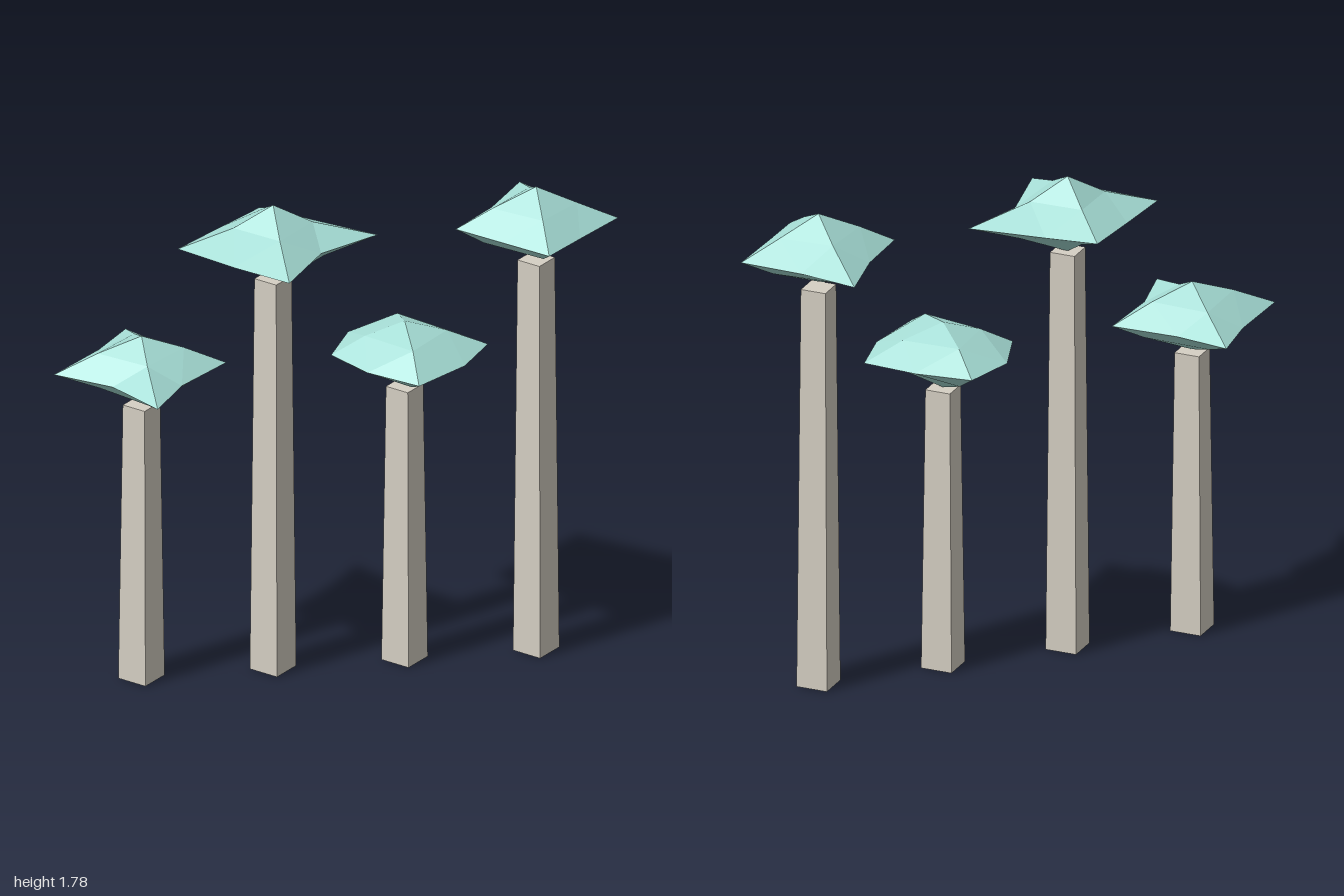
import * as THREE from 'three';

const barkMaterial = new THREE.MeshStandardMaterial({ color: 0xd6d0c4, flatShading: true });
const leafMaterial = new THREE.MeshStandardMaterial({ color: 0xa8e0d8, flatShading: true });

// Each tree: trunk position and height, crown centre, tip reaches [-, +] per axis,
// and the crown's edge midpoints as [a, b] sizes in the sign order --, +-, ++, -+
const trees = [
  { x: -0.69, height: 1.05, y: 1.185, tipX: [0.31, 0.3], tipY: [0.132, 0.125], tipZ: [0.333, 0.343],
    xz: [[0.12, 0.18], [0.12, 0.17], [0.115, 0.165], [0.125, 0.135]],
    xy: [[0.145, 0.065], [0.18, 0.06], [0.15, 0.07], [0.155, 0.07]],
    yz: [[0.07, 0.16], [0.065, 0.15], [0.065, 0.125], [0.07, 0.16]] },
  { x: -0.225, height: 1.5, y: 1.635, tipX: [0.337, 0.37], tipY: [0.14, 0.143], tipZ: [0.29, 0.345],
    xz: [[0.165, 0.15], [0.15, 0.175], [0.15, 0.12], [0.17, 0.185]],
    xy: [[0.12, 0.065], [0.18, 0.065], [0.14, 0.068], [0.14, 0.065]],
    yz: [[0.06, 0.14], [0.07, 0.14], [0.07, 0.145], [0.07, 0.17]] },
  { x: 0.24, height: 1.05, y: 1.185, tipX: [0.26, 0.295], tipY: [0.135, 0.112], tipZ: [0.28, 0.305],
    xz: [[0.17, 0.18], [0.165, 0.15], [0.185, 0.165], [0.16, 0.165]],
    xy: [[0.15, 0.07], [0.13, 0.06], [0.15, 0.065], [0.14, 0.065]],
    yz: [[0.07, 0.16], [0.07, 0.155], [0.075, 0.175], [0.07, 0.16]] },
  { x: 0.705, height: 1.5, y: 1.635, tipX: [0.285, 0.29], tipY: [0.115, 0.142], tipZ: [0.35, 0.275],
    xz: [[0.13, 0.16], [0.13, 0.17], [0.13, 0.15], [0.14, 0.14]],
    xy: [[0.185, 0.06], [0.17, 0.06], [0.145, 0.07], [0.155, 0.07]],
    yz: [[0.06, 0.15], [0.075, 0.14], [0.075, 0.14], [0.065, 0.155]] },
];

// Edge midpoint sizes for a pair of signs, with the signs applied
function signedPair(list, sa, sb) {
  const index = sb < 0 ? (sa < 0 ? 0 : 1) : (sa > 0 ? 2 : 3);
  return [list[index][0] * sa, list[index][1] * sb];
}

// Irregular flattened octahedron, each octant split into four facets
function crownGeometry(t) {
  const positions = [];
  const reach = (pair, s) => pair[s < 0 ? 0 : 1] * s;
  for (const sx of [-1, 1]) for (const sy of [-1, 1]) for (const sz of [-1, 1]) {
    const a = [reach(t.tipX, sx), 0, 0];
    const b = [0, reach(t.tipY, sy), 0];
    const c = [0, 0, reach(t.tipZ, sz)];
    const [abX, abY] = signedPair(t.xy, sx, sy);
    const [bcY, bcZ] = signedPair(t.yz, sy, sz);
    const [caX, caZ] = signedPair(t.xz, sx, sz);
    const ab = [abX, abY, 0], bc = [0, bcY, bcZ], ca = [caX, 0, caZ];
    for (const [p, q, r] of [[a, ab, ca], [ab, b, bc], [ca, bc, c], [ab, bc, ca]]) {
      // mirrored octants need the opposite corner order
      positions.push(...p, ...(sx * sy * sz > 0 ? [...q, ...r] : [...r, ...q]));
    }
  }
  const geometry = new THREE.BufferGeometry();
  geometry.setAttribute('position', new THREE.Float32BufferAttribute(positions, 3));
  geometry.computeVertexNormals();
  return geometry;
}

export function createModel() {
  const model = new THREE.Group();
  model.name = 'treeRow';
  trees.forEach((t) => {
    const tree = new THREE.Group();
    tree.name = 'tree';
    tree.position.x = t.x;

    // Four-sided tapering trunk, corner towards the front
    const trunk = new THREE.Mesh(new THREE.CylinderGeometry(0.066, 0.082, t.height, 4), barkMaterial);
    trunk.name = 'trunk';
    trunk.position.y = t.height / 2;

    // Faceted crown
    const crown = new THREE.Mesh(crownGeometry(t), leafMaterial);
    crown.name = 'crown';
    crown.position.y = t.y;

    tree.add(trunk, crown);
    model.add(tree);
  });
  return model;
}
